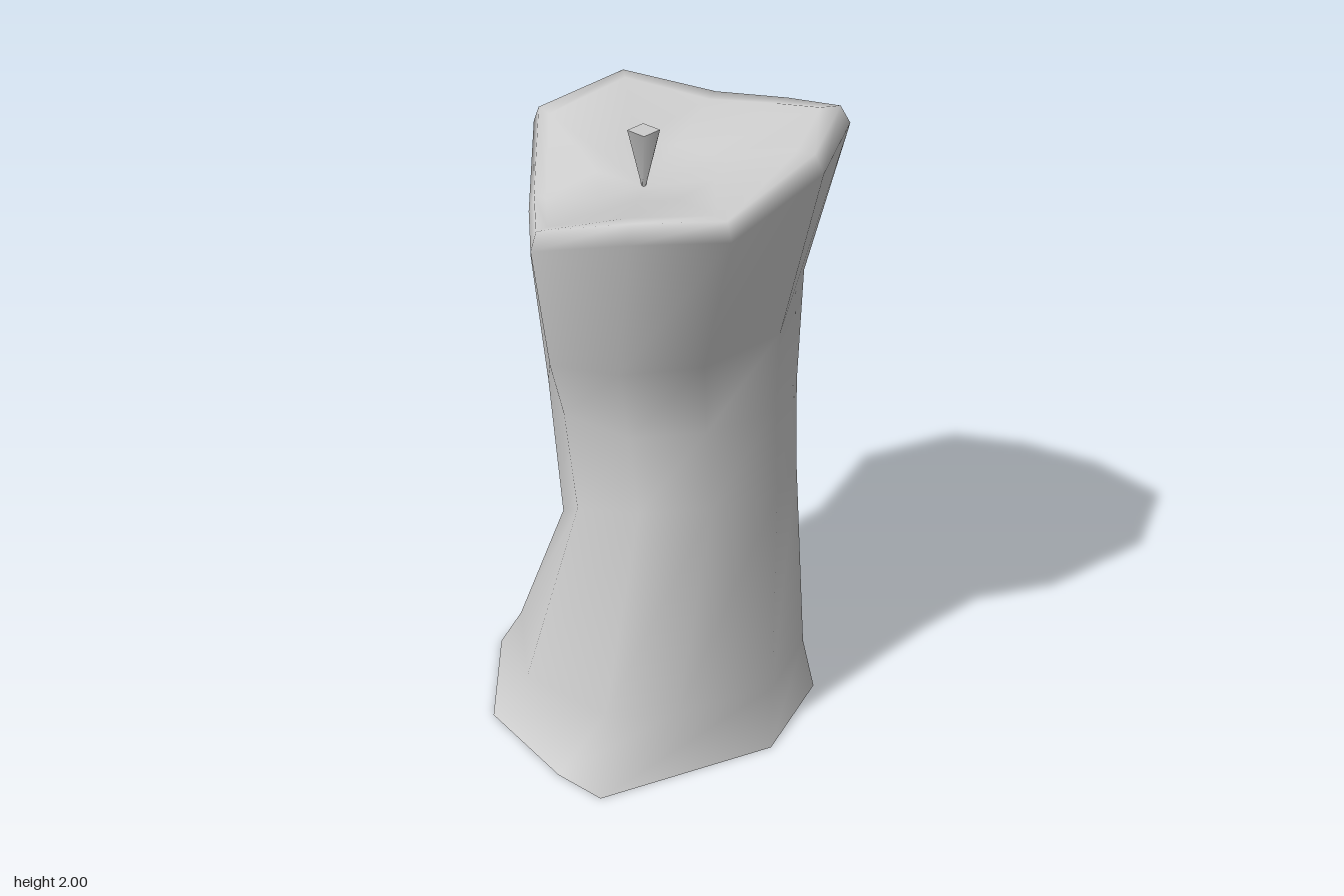
import * as THREE from 'three';

const { lerp } = THREE.MathUtils;
const SIDES = 10;
const material = new THREE.MeshStandardMaterial({ color: 0xcccccc });

// Spread foot of melted wax: [x, z]
const FOOT = [
  [0.49, 0.03], [0.33, 0.355], [-0.21, 0.595], [-0.34, 0.475], [-0.55, 0.16],
  [-0.535, -0.25], [-0.39, -0.48], [-0.11, -0.595], [0.22, -0.585], [0.4, -0.41],
];
// How far the foot's outline carries up into the ankle
const SPREAD = [0.5, 0.5, 0.3, 0.42, 0.6, 0.68, 0.5, 0.65, 0.6, 0.5];

// Cross-section of the body in a -1..1 square, flattened towards -x: [x, z]
const BODY = [
  [1, 0.03], [0.8, 0.56], [0.24, 0.93], [-0.37, 1], [-0.87, 0.58],
  [-1, -0.05], [-0.9, -0.71], [-0.38, -1], [0.24, -0.93], [0.71, -0.57],
];
// Wandering heights of the waist and of the crease below the flare
const WAIST_Y = [0.8, 0.8, 0.84, 0.84, 0.77, 0.62, 0.7, 0.75, 0.8, 0.8];
const CREASE_Y = [1.48, 1.36, 1.32, 1.31, 1.27, 1.52, 1.44, 1.4, 1.4, 1.45];

// Uneven upper rim: [x, crest height, z]
const RIM = [
  [0.55, 2.0, -0.085], [0.45, 1.97, 0.2], [0.18, 1.85, 0.39], [-0.11, 1.86, 0.42], [-0.385, 1.78, 0.29],
  [-0.4, 1.68, -0.18], [-0.385, 1.84, -0.49], [-0.11, 1.92, -0.59], [0.19, 1.86, -0.55], [0.41, 1.91, -0.37],
];
const WICK = [-0.055, -0.085];

// Body cross-section fitted between the given limits
function bodyRing(heights, xMin, xMax, zMin, zMax) {
  return BODY.map(([x, z], k) => [
    lerp(xMin, xMax, (x + 1) / 2), heights[k], lerp(zMin, zMax, (z + 1) / 2),
  ]);
}

// Rim outline drawn in towards the wick, with a height rule
function rimRing(scale, height) {
  return RIM.map(([x, y, z]) => [lerp(WICK[0], x, scale), height(y), lerp(WICK[1], z, scale)]);
}

// Skin a stack of rings, closed by a centre point on the last ring
function loft(rings, tip) {
  const index = [];
  const id = (r, k) => r * SIDES + (k % SIDES);
  const last = rings.length - 1;
  for (let k = 0; k < SIDES; k++) {
    for (let r = 0; r < last; r++) {
      const a = id(r, k), b = id(r, k + 1), c = id(r + 1, k), d = id(r + 1, k + 1);
      index.push(a, c, b, b, c, d);
    }
    index.push(id(last, k), rings.length * SIDES, id(last, k + 1));
  }
  const geometry = new THREE.BufferGeometry();
  geometry.setAttribute('position', new THREE.Float32BufferAttribute([...rings.flat(2), ...tip], 3));
  geometry.setIndex(index);
  geometry.computeVertexNormals();
  return geometry;
}

function addMesh(group, name, geometry) {
  const mesh = new THREE.Mesh(geometry, material);
  mesh.name = name;
  group.add(mesh);
  return mesh;
}

export function createModel() {
  const group = new THREE.Group();
  group.name = 'meltedCandle';

  // Wax body: foot, waist, flared rim, then the hollow around the wick
  const foot = FOOT.map(([x, z]) => [x, 0, z]);
  const waist = bodyRing(WAIST_Y, -0.315, 0.42, -0.422, 0.292);
  const ankle = SPREAD.map((s, k) => [lerp(waist[k][0], foot[k][0], s), 0.15, lerp(waist[k][2], foot[k][2], s)]);
  const rings = [
    foot,
    ankle,
    waist,
    bodyRing(new Array(SIDES).fill(1.1), -0.352, 0.413, -0.411, 0.281),
    bodyRing(CREASE_Y, -0.395, 0.425, -0.405, 0.275),
    rimRing(1, (y) => y - 0.055),
    rimRing(0.95, (y) => y),
    rimRing(0.85, (y) => y - 0.005),
    rimRing(0.4, (y) => 1.78 + 0.2 * Math.max(0, y - 1.78)),
  ];
  addMesh(group, 'waxBody', loft(rings, [WICK[0], 1.75, WICK[1]]));

  // Flat underside
  const outline = new THREE.Shape(FOOT.map(([x, z]) => new THREE.Vector2(x, z)));
  addMesh(group, 'underside', new THREE.ShapeGeometry(outline).rotateX(Math.PI / 2));

  // Four-sided wick, widening upwards
  const wick = addMesh(group, 'wick', new THREE.CylinderGeometry(0.048, 0.004, 0.19, 4));
  wick.position.set(WICK[0], 1.835, WICK[1]);

  return group;
}
